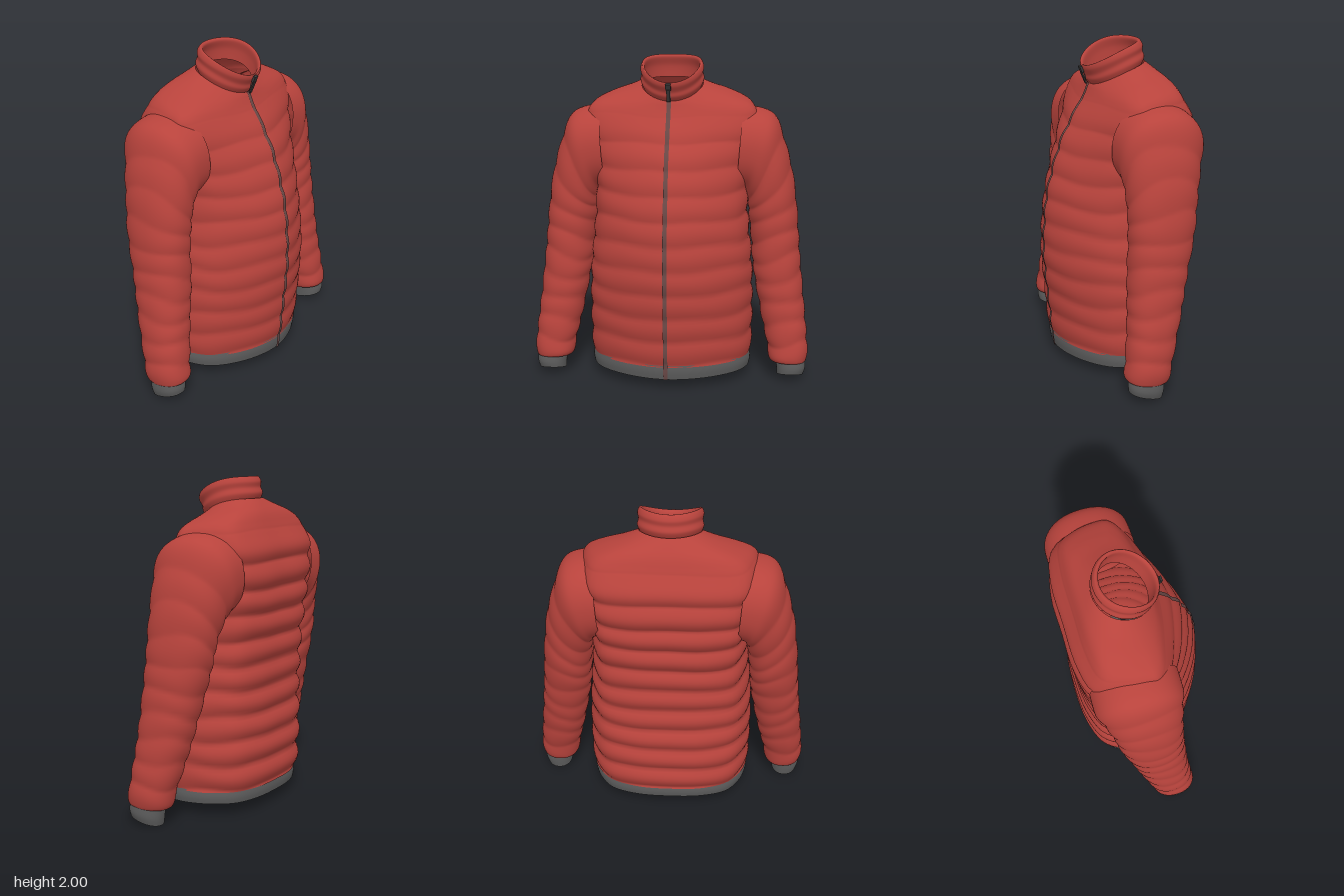
import * as THREE from 'three';

const SEG = 72;

// Smooth interpolation of numeric rows, t in 0..1
function rowAt(rows, t) {
  const f = t * (rows.length - 1), i = Math.min(Math.floor(f), rows.length - 2), k = f - i;
  const at = (n) => rows[Math.max(0, Math.min(rows.length - 1, n))];
  return rows[i].map((b, c) => {
    const a = at(i - 1)[c], d = at(i + 1)[c], e = at(i + 2)[c];
    return b + 0.5 * k * (d - a + k * (2 * a - 5 * b + 4 * d - e + k * (3 * (b - d) + e - a)));
  });
}

// Closed rings of points skinned into one smooth surface
function loft(rings) {
  const pos = [], index = [];
  rings.forEach((ring) => ring.forEach((p) => pos.push(p.x, p.y, p.z)));
  for (let j = 0; j < rings.length - 1; j++) {
    for (let i = 0; i < SEG; i++) {
      const a = j * SEG + i, b = j * SEG + (i + 1) % SEG;
      index.push(a, b, b + SEG, a, b + SEG, a + SEG);
    }
  }
  const g = new THREE.BufferGeometry();
  g.setAttribute('position', new THREE.Float32BufferAttribute(pos, 3));
  g.setIndex(index);
  g.computeVertexNormals();
  return g;
}

// Torso outline: flat back, pointed chest
const half = [[0, 1], [0.2, 0.95], [0.5, 0.8], [0.85, 0.5], [0.98, 0.2],
  [1, -0.1], [0.97, -0.5], [0.85, -0.88], [0.5, -1], [0, -1]];
const outline = new THREE.CatmullRomCurve3(
  [...half, ...half.slice(1, -1).reverse().map(([x, z]) => [-x, z])]
    .map(([x, z]) => new THREE.Vector3(x, 0, z)), true);

// Ring from [front y, back y, half width, front z, back z, roundness]
function bodyRing([yF, yB, w, zF, zB, round], puff) {
  const ring = [];
  for (let i = 0; i < SEG; i++) {
    const u = i / SEG, th = u * Math.PI * 2, s = Math.sin(th), c = Math.cos(th);
    const o = outline.getPoint(u);
    let x = w * THREE.MathUtils.lerp(o.x, s, round);
    let z = THREE.MathUtils.lerp(o.z > 0 ? o.z * zF : -o.z * zB,
      (zF + zB) / 2 + c * (zF - zB) / 2, round);
    const t = THREE.MathUtils.clamp((z - zB) / (zF - zB), 0, 1);
    const y = yB + (yF - yB) * t * t;
    if (puff) {
      const wave = 0.08 * Math.sin(5 * th + 9 * yF) * Math.abs(s);
      const b = Math.abs(Math.sin(Math.PI * ((yF - 0.15) / 0.15 + wave)));
      const amp = (0.013 + 0.019 * Math.max(0, -c)) * (1 - 0.65 * THREE.MathUtils.smoothstep(yF, 1.5, 1.68));
      x += s * b * amp;
      z += c * b * amp;
    }
    ring.push(new THREE.Vector3(x, y, z));
  }
  return ring;
}

function bodyRings(rows, steps, puff) {
  return Array.from({ length: steps + 1 }, (_, j) => bodyRing(rowAt(rows, j / steps), puff));
}

// Sleeve rings from [x, y, z, radius across, radius in z, tilt in degrees, slope along z]
function sleeveRings(rows, steps, side, amp) {
  const soft = (v) => Math.sign(v) * Math.pow(Math.abs(v), 0.9);
  return Array.from({ length: steps + 1 }, (_, j) => {
    const [cx, cy, cz, r, rz, deg, slope] = rowAt(rows, j / steps);
    const a = deg * Math.PI / 180, ring = [];
    for (let i = 0; i < SEG; i++) {
      const th = side * i / SEG * Math.PI * 2;
      const wave = 0.12 * Math.sin(2 * th + cy * 12);
      const b = amp * Math.abs(Math.sin(Math.PI * ((cy - 0.1) / 0.135 + wave)));
      const s = soft(Math.sin(th)) * (r + b), c = soft(Math.cos(th)) * (rz + b);
      ring.push(new THREE.Vector3(side * (cx + Math.cos(a) * s), cy + Math.sin(a) * s + c * slope, cz + c));
    }
    return ring;
  });
}

export function createModel() {
  const mat = (name, color) => {
    const m = new THREE.MeshStandardMaterial({ color, side: THREE.DoubleSide });
    m.name = name;
    return m;
  };
  const red = mat('red fabric', 0xb8433c);
  const grey = mat('grey knit', 0x5c5c5c);
  const tape = mat('zip tape', 0x694846);
  const dark = mat('dark metal', 0x383838);

  const model = new THREE.Group();
  model.name = 'jacket';
  const add = (name, geometry, material, parent = model) => {
    const m = new THREE.Mesh(geometry, material);
    m.name = name;
    parent.add(m);
    return m;
  };

  // Quilted torso, from hem to neck
  const torso = bodyRings([
    [0.14, 0.14, 0.495, 0.365, -0.355, 0.6],
    [0.4, 0.4, 0.502, 0.39, -0.358, 0.5],
    [0.7, 0.7, 0.495, 0.415, -0.348, 0.4],
    [1.0, 1.0, 0.468, 0.4, -0.357, 0.25],
    [1.2, 1.2, 0.46, 0.36, -0.372, 0.1],
    [1.4, 1.4, 0.468, 0.295, -0.385, 0],
    [1.54, 1.56, 0.5, 0.225, -0.38, 0],
    [1.63, 1.67, 0.52, 0.175, -0.35, 0.1],
    [1.68, 1.74, 0.485, 0.145, -0.315, 0.2],
    [1.71, 1.79, 0.39, 0.13, -0.285, 0.3],
    [1.73, 1.83, 0.28, 0.122, -0.25, 0.6],
    [1.745, 1.87, 0.185, 0.115, -0.21, 1],
  ], 165, true);
  add('torso', loft(torso), red);

  // Knitted hem band
  const hem = bodyRings([
    [0.06, 0.07, 0.495, 0.36, -0.352, 0.6],
    [0.11, 0.11, 0.502, 0.368, -0.358, 0.6],
    [0.155, 0.155, 0.495, 0.366, -0.353, 0.6],
  ], 6, false);
  add('hemBand', loft(hem), grey);

  // Stand-up collar, folded over at the top and lined inside
  const collarOuter = [
    [1.74, 1.86, 0.182, 0.11, -0.205, 1],
    [1.77, 1.9, 0.195, 0.135, -0.22, 1],
    [1.8, 1.935, 0.188, 0.142, -0.208, 1],
    [1.835, 1.97, 0.194, 0.163, -0.21, 1],
    [1.86, 2.0, 0.182, 0.165, -0.19, 1],
  ];
  const collarInner = [
    [1.85, 1.985, 0.168, 0.145, -0.172, 1],
    [1.8, 1.93, 0.174, 0.125, -0.19, 1],
    [1.74, 1.86, 0.172, 0.1, -0.194, 1],
  ];
  add('collar', loft(bodyRings([...collarOuter, ...collarInner], 49, false)), red);

  // Sleeves and cuffs, listed from wrist to shoulder
  const sleeveRows = [
    [0.757, 0.11, 0.085, 0.086, 0.1, 0, 0.1],
    [0.742, 0.125, 0.076, 0.113, 0.125, 2, 0.1],
    [0.735, 0.22, 0.06, 0.119, 0.134, 6, 0.05],
    [0.695, 0.47, 0.012, 0.134, 0.154, 12, 0],
    [0.655, 0.755, -0.03, 0.146, 0.178, 15, 0],
    [0.64, 0.94, -0.058, 0.153, 0.194, 24, 0],
    [0.617, 1.135, -0.075, 0.174, 0.207, 40, 0],
    [0.587, 1.28, -0.09, 0.207, 0.227, 57, 0],
    [0.535, 1.41, -0.105, 0.25, 0.255, 71, 0],
    [0.42, 1.445, -0.105, 0.255, 0.26, 86, 0],
  ];
  const cuffRows = [
    [0.755, 0.026, 0.09, 0.082, 0.1, 0, 0.25],
    [0.76, 0.07, 0.088, 0.09, 0.106, 0, 0.18],
    [0.757, 0.13, 0.082, 0.09, 0.104, 0, 0.1],
  ];
  for (const [side, name] of [[1, 'left'], [-1, 'right']]) {
    const arm = new THREE.Group();
    arm.name = name + 'Arm';
    model.add(arm);
    add(name + 'Sleeve', loft(sleeveRings(sleeveRows, 135, side, 0.009)), red, arm);
    add(name + 'Cuff', loft(sleeveRings(cuffRows, 8, side, 0)), grey, arm);
  }

  // Zip tape following the centre front
  const front = [...hem.slice(0, -2), ...torso.slice(2, -2),
    ...bodyRings(collarOuter, 16, false).slice(1)].map((r) => r[0]);
  const pos = [], index = [];
  front.forEach((p, i) => {
    pos.push(-0.02, p.y, p.z + 0.007, 0.006, p.y, p.z + 0.007);
    const a = i * 2;
    if (i < front.length - 1) index.push(a, a + 1, a + 3, a, a + 3, a + 2);
  });
  const strip = new THREE.BufferGeometry();
  strip.setAttribute('position', new THREE.Float32BufferAttribute(pos, 3));
  strip.setIndex(index);
  strip.computeVertexNormals();
  add('zipTape', strip, tape);

  // Zip slider and hanging pull at the collar
  const zip = new THREE.Group();
  zip.name = 'zipPull';
  zip.position.set(-0.008, 1.835, 0.172);
  zip.rotation.x = 0.4;
  model.add(zip);
  add('slider', new THREE.BoxGeometry(0.032, 0.04, 0.014), dark, zip);
  add('pullTab', new THREE.BoxGeometry(0.022, 0.08, 0.008), dark, zip).position.set(0, -0.056, 0.006);

  return model;
}
